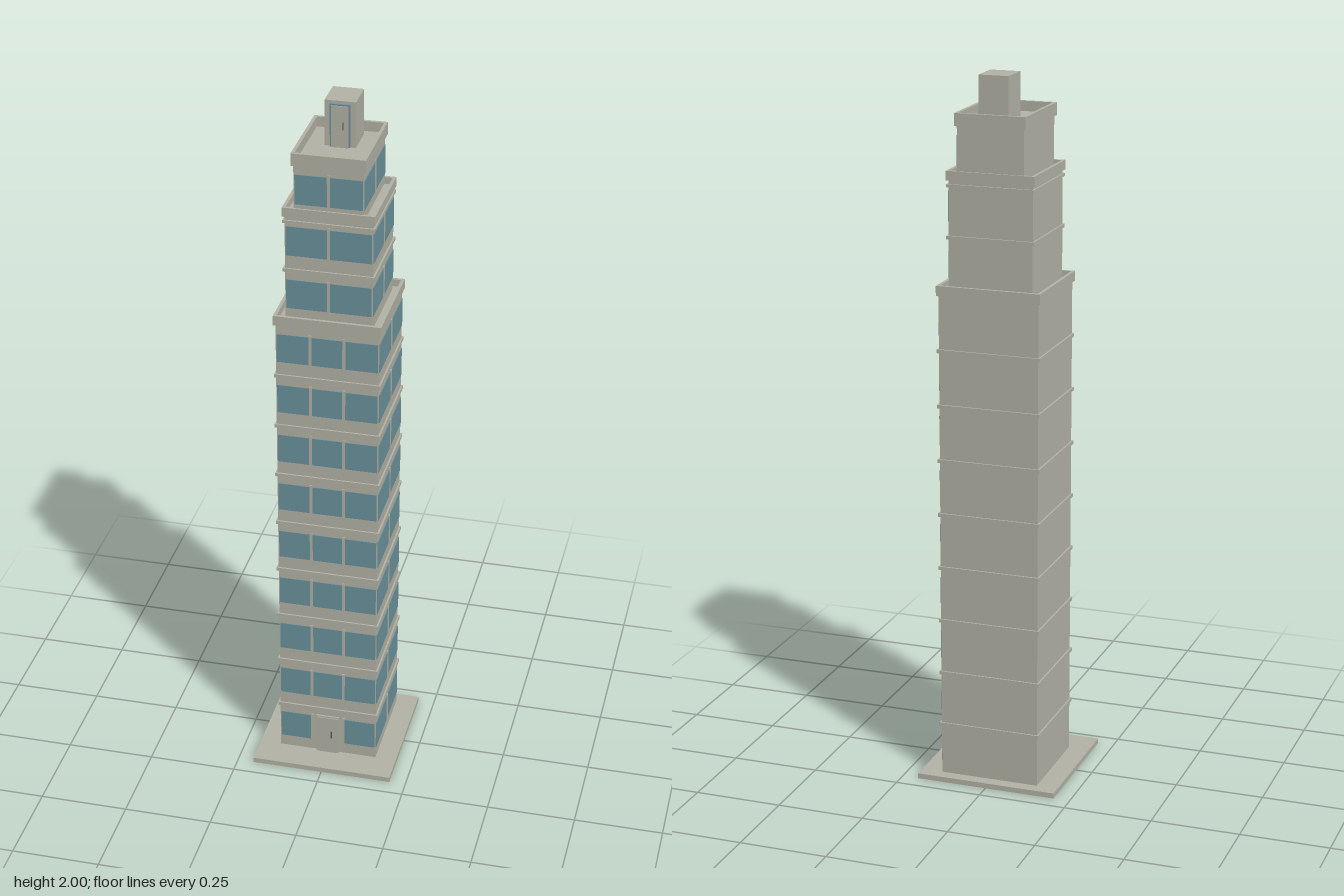
import * as THREE from 'three';

const stone = new THREE.MeshStandardMaterial({ color: 0xb3b2a5 });
stone.name = 'stone';
const glass = new THREE.MeshStandardMaterial({ color: 0x6b929c });
glass.name = 'glass';
const metal = new THREE.MeshStandardMaterial({ color: 0x55575a });
metal.name = 'handle metal';

// Box given by its lower and upper limits on each axis
function box(parent, name, mat, [x0, x1], [y0, y1], [z0, z1]) {
  const m = new THREE.Mesh(new THREE.BoxGeometry(x1 - x0, y1 - y0, z1 - z0), mat);
  m.position.set((x0 + x1) / 2, (y0 + y1) / 2, (z0 + z1) / 2);
  m.name = name;
  parent.add(m);
  return m;
}

// Open rectangular parapet around a roof
function parapet(parent, w, [y0, y1], [z0, z1], t) {
  const s = new THREE.Shape();
  s.moveTo(-w, -z1).lineTo(w, -z1).lineTo(w, -z0).lineTo(-w, -z0).closePath();
  const h = new THREE.Path();
  h.moveTo(-w + t, -z1 + t).lineTo(-w + t, -z0 - t).lineTo(w - t, -z0 - t).lineTo(w - t, -z1 + t).closePath();
  s.holes.push(h);
  const g = new THREE.ExtrudeGeometry(s, { depth: y1 - y0, bevelEnabled: false });
  g.rotateX(-Math.PI / 2);
  const m = new THREE.Mesh(g, stone);
  m.position.y = y0;
  m.name = 'parapet';
  parent.add(m);
}

// One stepped block: windows only on the front and the left (+x) side
function tier({ name, w, z, y, top, floors, first, columns, skip }) {
  const g = new THREE.Group();
  g.name = name;
  const [z0, z1] = z, pitch = 0.1555, winH = 0.084, m = 0.004;
  box(g, 'walls', stone, [-w, w], y, z);
  parapet(g, w + 0.006, [top[0], top[1]], [z0 - 0.005, z1 + 0.005], 0.009);

  for (let f = 0; f < floors; f++) {
    const a = first + f * pitch, b = a + winH;
    // front panes and mullions
    const cw = (2 * w - 0.006) / columns;
    for (let c = 0; c < columns; c++) {
      const x = -w + 0.003 + c * cw;
      if (!(skip && f === 0 && c === 1))
        box(g, 'frontWindow', glass, [x + (c ? m : 0), x + cw - (c < columns - 1 ? m : 0)], [a, b], [z1 - 0.002, z1 + 0.002]);
      if (c) box(g, 'frontMullion', stone, [x - m, x + m], [a - 0.006, b + 0.006], [z1, z1 + 0.004]);
    }
    // side panes and mullion
    const mid = (z0 + z1) / 2;
    box(g, 'sideWindow', glass, [w - 0.002, w + 0.002], [a, b], [mid + m, z1 - 0.003]);
    box(g, 'sideWindow', glass, [w - 0.002, w + 0.002], [a, b], [z0 + 0.003, mid - m]);
    box(g, 'sideMullion', stone, [w, w + 0.004], [a - 0.006, b + 0.006], [mid - m, mid + m]);
    // ledge between storeys
    if (f < floors - 1)
      box(g, 'ledge', stone, [-w - 0.005, w + 0.005], [b + 0.024, b + 0.034], [z0 - 0.005, z1 + 0.005]);
  }
  return g;
}

// Door with frame, leaf and handle
function door(name, w, h, y, z, frameMat) {
  const g = new THREE.Group();
  g.name = name;
  box(g, 'doorFrame', frameMat, [-w, w], [0, h], [0, 0.005]);
  box(g, 'doorLeaf', stone, [-w + 0.004, w - 0.004], [0, h - 0.004], [0.003, 0.008]);
  box(g, 'doorHandle', metal, [w * 0.3, w * 0.3 + 0.003], [h * 0.42, h * 0.6], [0.007, 0.011]);
  g.position.set(0, y, z);
  return g;
}

export function createModel() {
  const tower = new THREE.Group();
  tower.name = 'tower';

  box(tower, 'basePlate', stone, [-0.203, 0.203], [0, 0.015], [-0.203, 0.203]);

  tower.add(
    tier({ name: 'lowerTower', w: 0.142, z: [-0.169, 0.117], y: [0.015, 1.412], top: [1.405, 1.433],
      floors: 9, first: 0.05, columns: 3, skip: true }),
    tier({ name: 'middleTower', w: 0.119, z: [-0.15, 0.097], y: [1.41, 1.725], top: [1.718, 1.744],
      floors: 2, first: 1.45, columns: 2 }),
    tier({ name: 'upperTower', w: 0.094, z: [-0.15, 0.097], y: [1.72, 1.872], top: [1.865, 1.9],
      floors: 1, first: 1.756, columns: 2 })
  );

  // Extra ledge under the middle tower's parapet
  box(tower, 'middleLedge', stone, [-0.124, 0.124], [1.7, 1.708], [-0.155, 0.102]);

  // Entrance and roof access
  tower.add(door('entranceDoor', 0.034, 0.125, 0.015, 0.117, stone));
  box(tower, 'roofHut', stone, [-0.042, 0.042], [1.87, 2], [-0.125, -0.032]);
  tower.add(door('roofDoor', 0.027, 0.12, 1.872, -0.032, glass));

  return tower;
}
